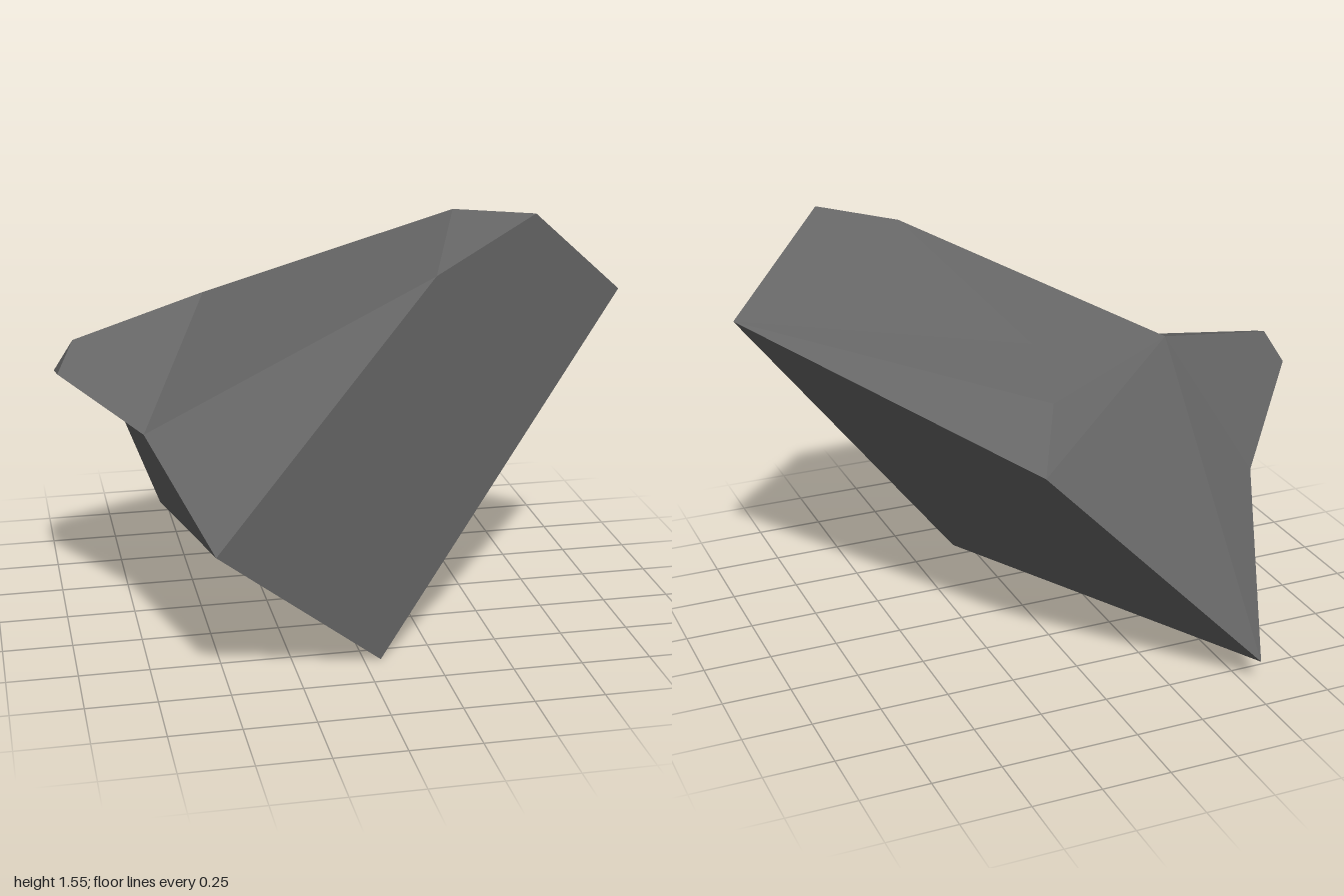
import * as THREE from 'three';

// Corners of the boulder
const corner = {
  foot: [0.06, 0, 0.58], heel: [-0.55, 0.09, -0.87], chin: [-0.56, 0.56, 0.87],
  notch: [-0.73, 0.62, -0.42], cheek: [-0.74, 0.85, 0.44],
  tipFront: [-1, 0.96, 0.05], tipBack: [-1, 0.91, -0.16], tipTop: [-0.93, 1.03, -0.13],
  ridge: [-0.43, 1.14, -0.29], crest: [0.39, 1.53, 0.21], peak: [0.63, 1.55, 0.42],
  brow: [0.24, 1.39, 0.58], shoulder: [1, 1.22, 0.25],
  rimA: [0.13, 1.23, -0.39], rimB: [0.12, 1.07, -0.55], back: [0.23, 0.89, -0.74],
};

// Flat facets, counter-clockwise from outside, each fanned from its first corner
const facets = [
  'foot shoulder peak brow chin',            // broad front
  'foot heel back shoulder',                 // broad underside
  'foot chin heel',
  'heel chin cheek notch',                   // left-hand undercut
  'notch cheek tipFront tipBack',
  'chin brow cheek',                         // upper slopes
  'ridge cheek brow crest',
  'brow peak crest',
  'ridge crest rimA rimB back',
  'shoulder back rimB rimA crest peak',      // chipped side
  'cheek ridge tipTop tipFront',             // pointed end
  'tipFront tipTop tipBack',
  'ridge back heel notch',                   // rear slopes
  'ridge notch tipBack tipTop',
];

export function createModel() {
  const group = new THREE.Group();
  group.name = 'rock';
  const stone = new THREE.MeshStandardMaterial({ color: 0x666666 });
  stone.name = 'stone grey';

  const positions = [];
  for (const facet of facets) {
    const p = facet.split(' ').map((name) => corner[name]);
    for (let i = 1; i < p.length - 1; i++) positions.push(...p[0], ...p[i], ...p[i + 1]);
  }
  const geometry = new THREE.BufferGeometry();
  geometry.setAttribute('position', new THREE.Float32BufferAttribute(positions, 3));
  geometry.computeVertexNormals(); // unshared corners keep every facet flat

  const boulder = new THREE.Mesh(geometry, stone);
  boulder.name = 'boulder';
  group.add(boulder);
  return group;
}
